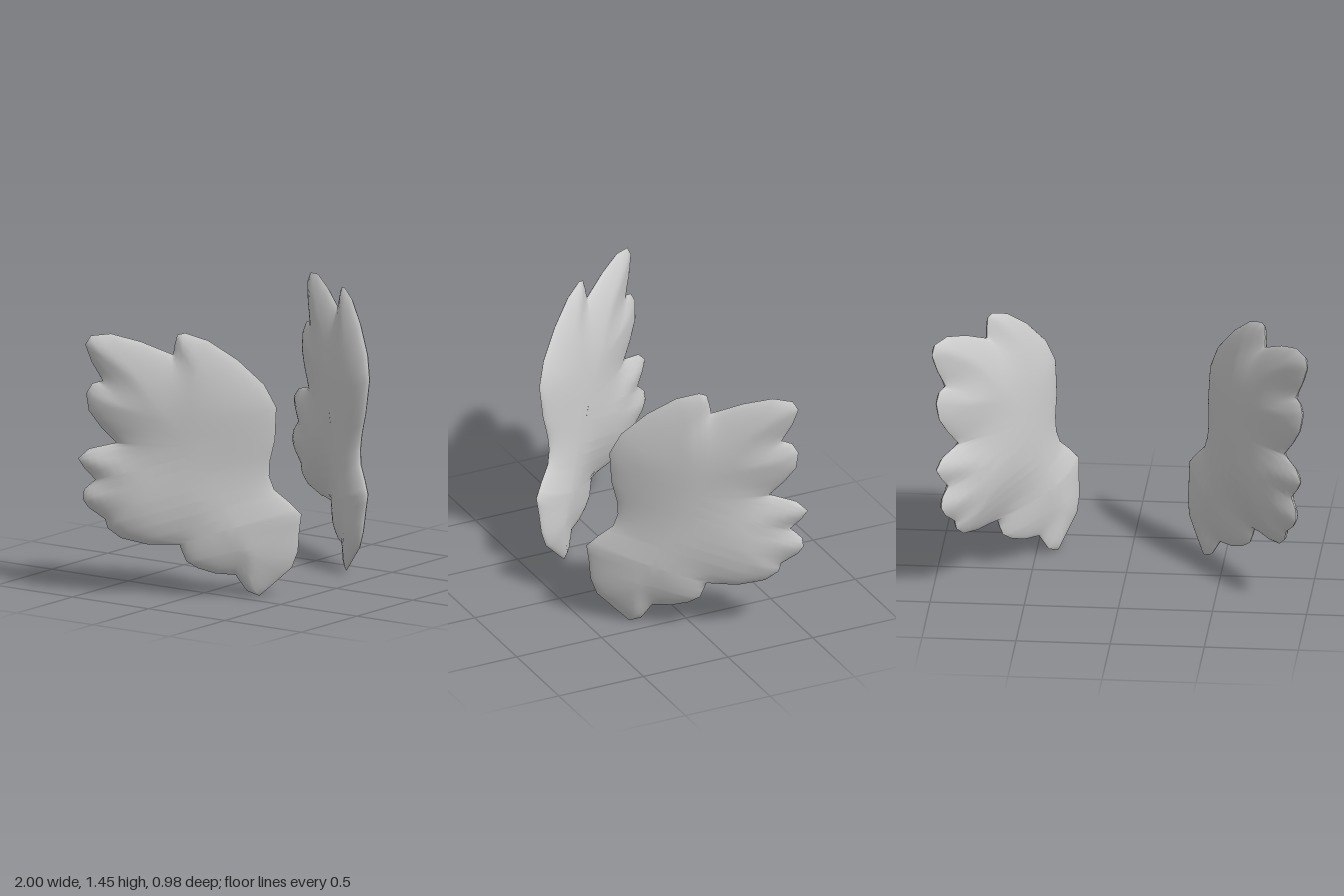
import * as THREE from 'three';
import { mergeVertices } from 'three/addons/utils/BufferGeometryUtils.js';

// Wing outline as [z, y], clockwise when seen from +x: feather tips first, then root
const OUTLINE = [
  [0.03, 1.45], [-0.005, 1.44], [-0.02, 1.385], [-0.03, 1.33], [-0.09, 1.36], [-0.17, 1.4], [-0.3, 1.442],
  [-0.39, 1.43], [-0.418, 1.38], [-0.395, 1.285], [-0.352, 1.182], [-0.4, 1.165], [-0.43, 1.11],
  [-0.424, 1.015], [-0.375, 0.925], [-0.312, 0.84], [-0.37, 0.823], [-0.434, 0.805], [-0.487, 0.75],
  [-0.46, 0.695], [-0.414, 0.635], [-0.468, 0.58], [-0.476, 0.525], [-0.45, 0.48], [-0.375, 0.42],
  [-0.362, 0.37], [-0.3, 0.32], [-0.17, 0.29], [-0.03, 0.292], [-0.005, 0.2], [0.04, 0.16],
  [0.11, 0.13], [0.19, 0.12], [0.23, 0.03], [0.28, 0.003], [0.35, 0.075], [0.43, 0.16],
  [0.462, 0.25], [0.474, 0.36], [0.489, 0.455], [0.44, 0.52], [0.376, 0.59], [0.358, 0.665],
  [0.365, 0.745], [0.395, 0.865], [0.412, 1.045], [0.365, 1.17], [0.255, 1.305], [0.13, 1.41],
].map(([z, y]) => new THREE.Vector2(z, y));

// Rim with a midpoint added on every outline edge
const RIM = OUTLINE.flatMap((p, i) => [p, p.clone().lerp(OUTLINE[(i + 1) % OUTLINE.length], 0.5)]);
const RIDGE_A = new THREE.Vector2(0.26, 0.27);
const RIDGE_B = new THREE.Vector2(0.05, 0.85);
const RINGS = 12;
const HALF_THICKNESS = 0.09;

// Position of p along the segment a-b, from 0 to 1
function along(p, a, b) {
  const d = b.clone().sub(a);
  return THREE.MathUtils.clamp(p.clone().sub(a).dot(d) / d.lengthSq(), 0, 1);
}

// Closest point of the central ridge, snapped to shared steps
function ridgePoint(p) {
  return RIDGE_A.clone().lerp(RIDGE_B, Math.round(along(p, RIDGE_A, RIDGE_B) * 10) / 10);
}

// Bulge rises steeply from the sharp rim and levels off towards the middle
function bulge(p) {
  let distance = Infinity;
  OUTLINE.forEach((a, i) => {
    const b = OUTLINE[(i + 1) % OUTLINE.length];
    distance = Math.min(distance, p.distanceTo(a.clone().lerp(b, along(p, a, b))));
  });
  const u = Math.min(distance / 0.35, 1);
  return HALF_THICKNESS * Math.pow(2 * u - u * u, 0.7);
}

// Middle surface: swept backward, leaning outward, lower rear feathers curled out
function middleX(z, y) {
  const curl = 0.075 * Math.exp(-((z + 0.1) ** 2) / 0.1 - ((y - 0.22) ** 2) / 0.12);
  return 0.56 - 0.65 * z + 0.12 * y + curl;
}

// One domed skin: rings shrink from the rim to the ridge.
// mirror is the body side, face is +1 for the outer skin and -1 for the inner skin.
function wingFace(mirror, face) {
  const n = RIM.length;
  const positions = [];
  const index = [];
  for (let r = 0; r <= RINGS; r++) {
    const t = Math.pow(r / RINGS, 1.5);
    for (const rim of RIM) {
      const p = rim.clone().lerp(ridgePoint(rim), t);
      const offset = r === 0 ? 0 : face * bulge(p);
      positions.push(mirror * (middleX(p.x, p.y) + offset), p.y, p.x);
    }
  }
  for (let r = 0; r < RINGS; r++) {
    for (let i = 0; i < n; i++) {
      const a = r * n + i, b = r * n + (i + 1) % n;
      const c = a + n, d = b + n;
      if (mirror * face > 0) index.push(b, a, c, b, c, d);
      else index.push(a, b, c, b, d, c);
    }
  }
  let geometry = new THREE.BufferGeometry();
  geometry.setAttribute('position', new THREE.Float32BufferAttribute(positions, 3));
  geometry.setIndex(index);
  geometry = mergeVertices(geometry, 1e-5);
  geometry.computeVertexNormals();
  return geometry;
}

export function createModel() {
  const model = new THREE.Group();
  model.name = 'wingPair';
  const material = new THREE.MeshStandardMaterial({ color: 0xcccccc });
  for (const [name, mirror] of [['leftWing', 1], ['rightWing', -1]]) {
    const wing = new THREE.Group();
    wing.name = name;
    for (const [faceName, face] of [['outerFeathers', 1], ['innerFeathers', -1]]) {
      const mesh = new THREE.Mesh(wingFace(mirror, face), material);
      mesh.name = faceName;
      wing.add(mesh);
    }
    model.add(wing);
  }
  return model;
}
